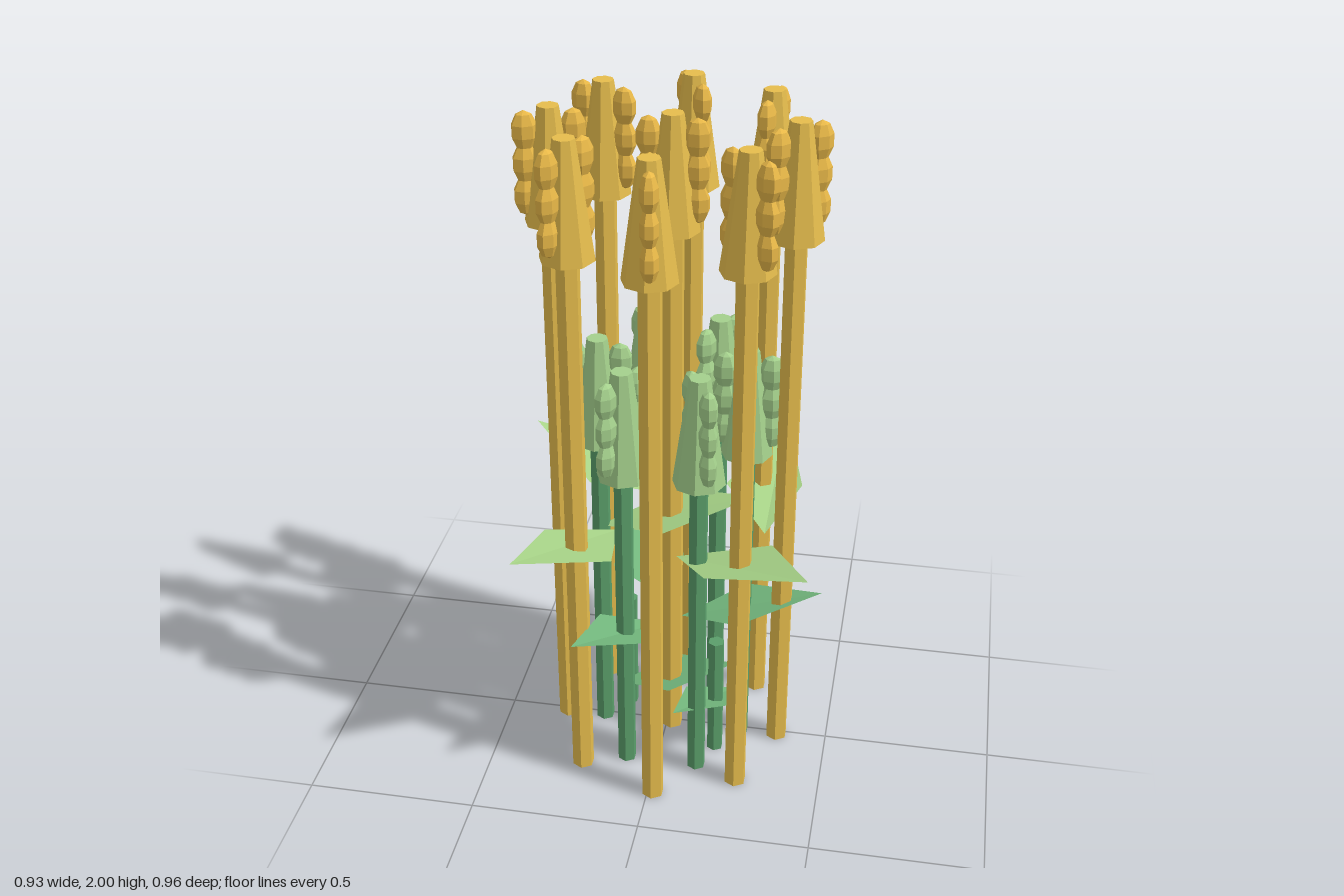
import * as THREE from 'three';

const mat = (color, extra = {}) => new THREE.MeshStandardMaterial({ color, flatShading: true, ...extra });
const CX = 0.016, CZ = 0.013; // middle of the clump

export function createModel() {
  const root = new THREE.Group();
  const gold = mat(0xe6bd4d), goldKernel = mat(0xe8b848);
  const paleGreen = mat(0xa4d08c), stemGreen = mat(0x5a9e6a);
  const upperLeaf = mat(0xa8d488, { side: THREE.DoubleSide });
  const lowerLeaf = mat(0x74b87e, { side: THREE.DoubleSide });

  function add(parent, name, geometry, material, x, y, z) {
    const mesh = new THREE.Mesh(geometry, material);
    mesh.name = name;
    mesh.position.set(x, y, z);
    parent.add(mesh);
    return mesh;
  }

  const kernelGeo = new THREE.SphereGeometry(1, 7, 5).scale(0.037, 0.056, 0.026);
  const headGeo = new THREE.CylinderGeometry(0.03, 0.075, 0.325, 8);

  // Six-sided stem with a tapered head and two opposite stacks of kernels
  function stalk(name, x, z, height, radius, angle, stemMat, headMat, kernelMat) {
    const g = new THREE.Group();
    g.name = name;
    g.position.set(x, 0, z);
    root.add(g);
    const stemH = height - 0.325;
    add(g, 'stem', new THREE.CylinderGeometry(radius, radius, stemH, 6), stemMat, 0, stemH / 2, 0);
    add(g, 'head', headGeo, headMat, 0, height - 0.1625, 0);
    const kernels = new THREE.Group();
    kernels.name = 'kernels';
    kernels.rotation.y = angle;
    g.add(kernels);
    for (const side of [-1, 1])
      for (let i = 0; i < 3; i++) {
        const k = add(kernels, 'kernel', kernelGeo, kernelMat, side * 0.065, height - 0.066 - i * 0.09, 0);
        k.rotation.y = side < 0 ? Math.PI : 0;
      }
  }

  // Ripe stalks: one in the middle, eight in a ring, each turned 40 degrees further
  for (let i = 0; i < 9; i++) {
    const r = i === 0 ? 0 : 0.331, a = (i - 1) * Math.PI / 4;
    stalk('ripeStalk', CX + r * Math.cos(a), CZ - r * Math.sin(a), 2, 0.033,
      i * Math.PI * 2 / 9, gold, gold, goldKernel);
  }

  // Young stalks: inner ring of six
  for (let i = 0; i < 6; i++) {
    const a = i * Math.PI / 3;
    stalk('youngStalk', CX + 0.214 * Math.cos(a), CZ - 0.214 * Math.sin(a), 1.335, 0.028,
      a, stemGreen, paleGreen, paleGreen);
  }

  // Two short sprouts
  for (const s of [-1, 1])
    add(root, 'sprout', new THREE.CylinderGeometry(0.025, 0.025, 0.4, 6), stemGreen, CX + s * 0.15, 0.2, CZ + s * 0.09);

  // Flat four-cornered leaf rising from base to tip; corners are [x, z]
  function leaf(material, y0, y1, base, sideA, tip, sideB) {
    const mid = (y0 + y1) / 2;
    const pts = [[base, y0], [sideA, mid], [tip, y1], [sideB, mid]];
    const geo = new THREE.BufferGeometry();
    geo.setAttribute('position', new THREE.Float32BufferAttribute(pts.flatMap(([p, y]) => [p[0], y, p[1]]), 3));
    geo.setIndex([0, 1, 2, 0, 2, 3]);
    geo.computeVertexNormals();
    add(root, 'leaf', geo, material, 0, 0, 0);
  }

  // Upper leaves (corners wind so the top side is the front)
  const up = (...c) => leaf(upperLeaf, 0.715, 0.865, ...c);
  up([-0.2, 0.013], [0.01, 0.14], [0.26, 0.013], [0.01, -0.115]);
  up([0.05, 0.137], [0.162, 0.341], [0.454, 0.417], [0.327, 0.145]);
  up([-0.146, 0.03], [-0.327, 0.178], [-0.35, 0.476], [-0.106, 0.305]);
  up([0.01, -0.19], [-0.169, -0.338], [-0.467, -0.31], [-0.256, -0.099]);
  up([0.285, -0.025], [0.375, -0.193], [0.294, -0.481], [0.15, -0.165]);

  // Middle leaves
  const middle = (...c) => leaf(lowerLeaf, 0.415, 0.55, ...c);
  middle([0.045, 0.013], [0.23, 0.125], [0.465, 0.013], [0.23, -0.095]);
  middle([-0.01, 0.06], [-0.18, 0.14], [-0.207, 0.4], [0.01, 0.25]);
  middle([0.02, -0.04], [0.01, -0.225], [-0.207, -0.375], [-0.19, -0.115]);

  // Low leaves
  const low = (...c) => leaf(lowerLeaf, 0.13, 0.25, ...c);
  low([-0.15, 0.005], [0.02, 0.1], [0.21, 0.005], [0.02, -0.09]);
  low([0.21, -0.03], [0.07, 0.07], [0.065, 0.275], [0.25, 0.12]);

  return root;
}
